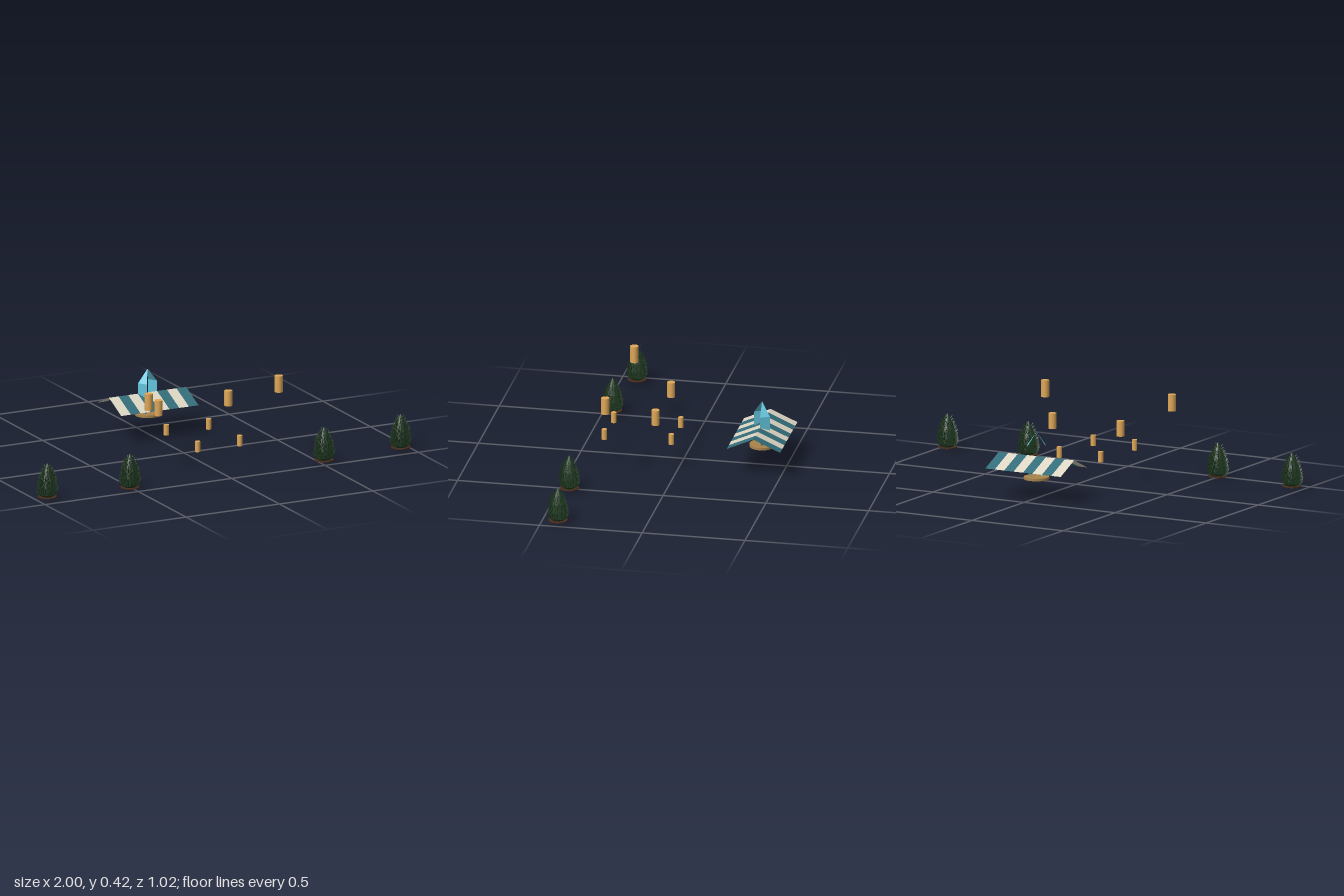
import * as THREE from 'three';
import { mergeGeometries } from 'three/addons/utils/BufferGeometryUtils.js';

const mat = (color, extra = {}) => {
  const m = new THREE.MeshStandardMaterial({ color, ...extra });
  return m;
};
const wood = mat(0xa8834a);
const gold = mat(0xdfa858);
const cream = mat(0xddd6c4, { side: THREE.DoubleSide });
const teal = mat(0x336d7a, { side: THREE.DoubleSide });
const crystalBlue = mat(0x62c4dc, { side: THREE.DoubleSide, flatShading: true });
const bark = mat(0x4a2c1c);
const leafGreen = mat(0x203a22, { side: THREE.DoubleSide, flatShading: true });

function add(parent, name, geometry, material, x = 0, y = 0, z = 0) {
  const mesh = new THREE.Mesh(geometry, material);
  mesh.name = name;
  mesh.position.set(x, y, z);
  parent.add(mesh);
  return mesh;
}

function seeded(seed) {
  let s = seed;
  return () => (s = (s * 16807) % 2147483647) / 2147483647;
}

const pts = (list) => list.map(([r, y]) => new THREE.Vector2(r, y));

// Foliage: a rounded cone covered with small upturned leaves
function foliageGeometry() {
  const rand = seeded(77);
  const profile = [[0.03, 0.016], [0.044, 0.028], [0.043, 0.06], [0.036, 0.1], [0.022, 0.14], [0.007, 0.17], [0, 0.178]];
  const parts = [new THREE.LatheGeometry(pts(profile), 12).toNonIndexed()];
  const radiusAt = (y) => {
    for (let i = 1; i < profile.length; i++) {
      const [r0, y0] = profile[i - 1], [r1, y1] = profile[i];
      if (y <= y1) return r0 + (r1 - r0) * (y - y0) / (y1 - y0);
    }
    return 0;
  };
  const count = 420;
  const up = new THREE.Vector3(0, 1, 0);
  for (let i = 0; i < count; i++) {
    const t = 1 - Math.sqrt(1 - i / count);
    const y = 0.018 + t * 0.148;
    const a = i * 2.39996 + rand() * 0.4;
    const leaf = new THREE.ConeGeometry(0.0045, 0.02 + rand() * 0.004, 3, 1, true);
    leaf.scale(1, 1, 0.4);
    leaf.translate(0, 0.008, 0);
    const lift = 0.9 + rand() * 1.2;
    const dir = new THREE.Vector3(Math.cos(a), lift, Math.sin(a)).normalize();
    leaf.applyQuaternion(new THREE.Quaternion().setFromUnitVectors(up, dir));
    const r = radiusAt(y) * 0.95;
    leaf.translate(r * Math.cos(a), y, r * Math.sin(a));
    parts.push(leaf.toNonIndexed());
  }
  return mergeGeometries(parts);
}

// Striped gable canopy made of thin sloping strips
function canopy() {
  const group = new THREE.Group();
  group.name = 'canopy';
  const stripes = 8, width = 0.414 / stripes;
  const run = 0.13, rise = 0.058;
  for (const side of [1, -1]) {
    for (let i = 0; i < stripes; i++) {
      const strip = new THREE.PlaneGeometry(width, Math.hypot(run, rise));
      strip.rotateX(-Math.PI / 2);
      strip.rotateX(side * Math.atan2(rise, run));
      add(group, 'canopyStripe', strip, i % 2 ? teal : cream,
        -0.207 + (i + 0.5) * width, 0.146 + rise / 2, side * run / 2);
    }
  }
  group.position.z = -0.38;
  return group;
}

export function createModel() {
  const model = new THREE.Group();
  model.name = 'marketScene';

  model.add(canopy());

  // Crystal on its round base: two opposite facets of a six-sided shard
  const shard = pts([[0.025, 0.105], [0.05, 0.132], [0.05, 0.256], [0, 0.322]]);
  for (const start of [Math.PI / 2, Math.PI * 1.5])
    add(model, 'crystalFacet', new THREE.LatheGeometry(shard, 1, start, Math.PI / 3), crystalBlue, 0, 0, -0.38);
  add(model, 'crystalBase', new THREE.CylinderGeometry(0.061, 0.061, 0.012, 24), wood, 0, 0.099, -0.38);

  // Mirrored floating lanterns: x, bottom, top, z, radius
  const lanterns = [
    [0.348, 0.337, 0.418, 0.312, 0.02],
    [0.187, 0.236, 0.311, 0.1, 0.0195],
    [0.113, 0.113, 0.165, 0.038, 0.013],
    [0.113, 0.113, 0.165, 0.364, 0.013],
  ];
  for (const [x, y0, y1, z, r] of lanterns)
    for (const side of [1, -1])
      add(model, 'lantern', new THREE.CylinderGeometry(r, r, y1 - y0, 16), gold, side * x, (y0 + y1) / 2, z);

  // Mirrored evergreen trees
  const foliage = foliageGeometry();
  for (const [x, z] of [[0.946, 0.42], [0.52, 0.452]])
    for (const side of [1, -1]) {
      const tree = new THREE.Group();
      tree.name = 'tree';
      add(tree, 'foliage', foliage, leafGreen);
      add(tree, 'trunk', new THREE.CylinderGeometry(0.006, 0.007, 0.08, 8), bark, 0, 0.04, 0);
      add(tree, 'treeBase', new THREE.CylinderGeometry(0.046, 0.046, 0.004, 16), bark, 0, 0.014, 0);
      tree.position.set(side * x, 0, z);
      model.add(tree);
    }
  return model;
}
